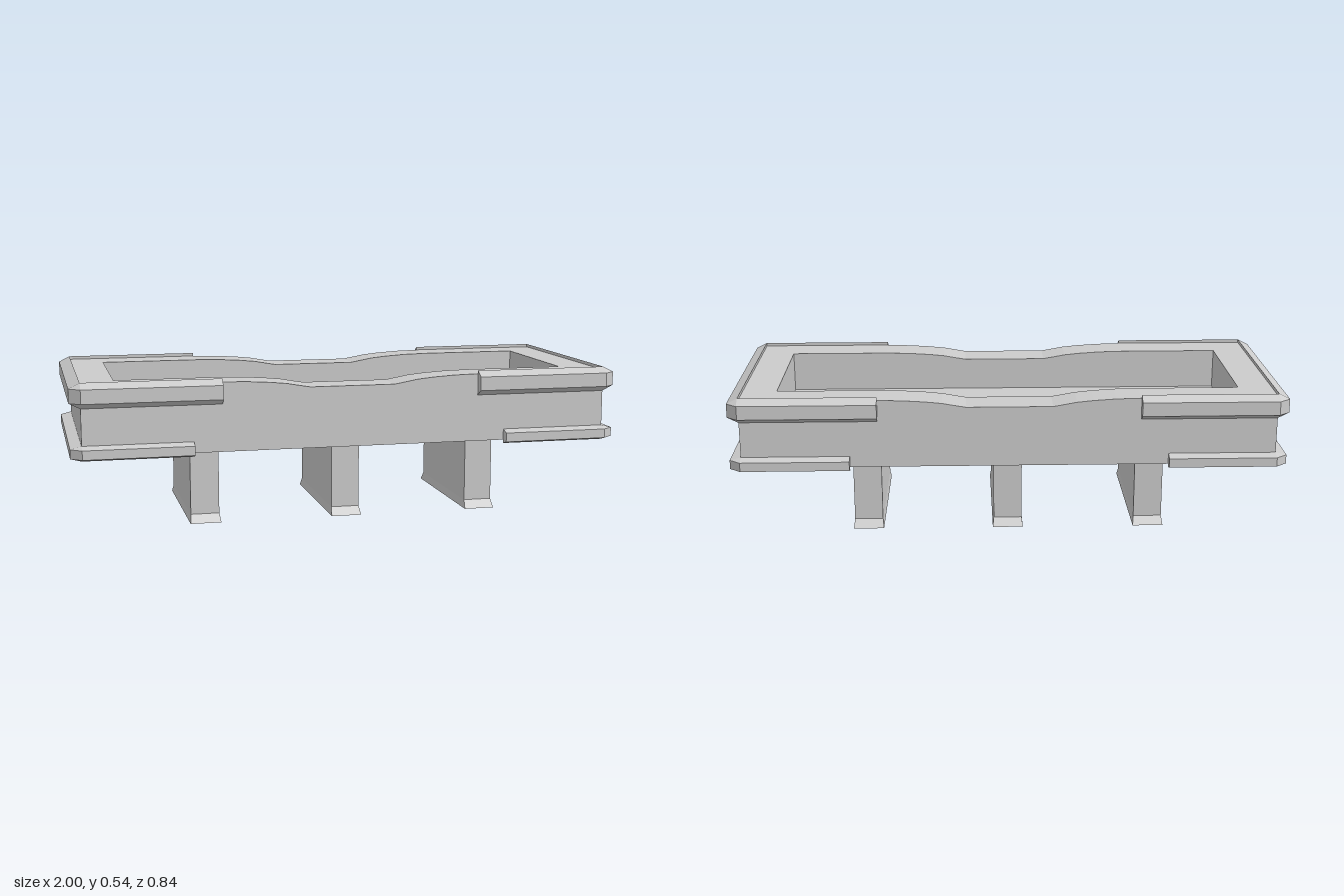
import * as THREE from 'three';

const material = new THREE.MeshStandardMaterial({ color: 0xcccccc, flatShading: true });

// Non-indexed geometry from quads whose corners run counter-clockwise seen from outside
function quadGeometry(quads) {
  const pos = [];
  for (const [a, b, c, d] of quads) pos.push(...a, ...b, ...c, ...a, ...c, ...d);
  const g = new THREE.BufferGeometry();
  g.setAttribute('position', new THREE.Float32BufferAttribute(pos, 3));
  g.computeVertexNormals();
  return g;
}

// Outer and inner half sizes of the trough, its bottom and basin floor
const X = 0.96, Z = 0.387, IX = 0.837, IZ = 0.26, BOTTOM = 0.28, FLOOR = 0.38;

// Rim height: raised ends dipping to a worn flat middle
const rimHalf = [[0, 0.5], [0.155, 0.5], [0.19, 0.506], [0.24, 0.515], [0.3, 0.521], [0.38, 0.526], [0.47, 0.528], [IX, 0.528], [X, 0.528]];
const rim = [...rimHalf.slice(1).reverse().map(([x, y]) => [-x, y]), ...rimHalf];

function troughGeometry() {
  const quads = [];
  const END = 0.528;
  for (const s of [1, -1]) {
    const p = (x, y, z) => [s * x, y, s * z];
    for (let i = 0; i < rim.length - 1; i++) {
      const [x0, y0] = rim[i], [x1, y1] = rim[i + 1];
      // outer side and rim top
      quads.push([p(x0, BOTTOM, Z), p(x1, BOTTOM, Z), p(x1, y1, Z), p(x0, y0, Z)]);
      quads.push([p(x0, y0, Z), p(x1, y1, Z), p(x1, y1, IZ), p(x0, y0, IZ)]);
      // inner side of the basin
      if (x0 >= -IX && x1 <= IX) {
        quads.push([p(x1, FLOOR, IZ), p(x0, FLOOR, IZ), p(x0, y0, IZ), p(x1, y1, IZ)]);
      }
    }
    // end wall: outside, rim top, inside
    quads.push([p(X, BOTTOM, Z), p(X, BOTTOM, -Z), p(X, END, -Z), p(X, END, Z)]);
    quads.push([p(IX, END, IZ), p(X, END, IZ), p(X, END, -IZ), p(IX, END, -IZ)]);
    quads.push([p(IX, FLOOR, -IZ), p(IX, FLOOR, IZ), p(IX, END, IZ), p(IX, END, -IZ)]);
  }
  // basin floor and underside
  quads.push([[-IX, FLOOR, IZ], [IX, FLOOR, IZ], [IX, FLOOR, -IZ], [-IX, FLOOR, -IZ]]);
  quads.push([[-X, BOTTOM, -Z], [X, BOTTOM, -Z], [X, BOTTOM, Z], [-X, BOTTOM, Z]]);
  return quadGeometry(quads);
}

// U-shaped bevelled band wrapping the +x end; ys = [low inner, low outer, high outer, high inner]
function bandGeometry(xStart, ys) {
  const OX = 1, OZ = 0.42;
  // stations: inner x, z and outer x, z, with chamfered outer corners
  const stations = [
    [xStart, Z, xStart, OZ], [X, Z, X, OZ], [X, Z, OX, Z],
    [X, -Z, OX, -Z], [X, -Z, X, -OZ], [xStart, -Z, xStart, -OZ],
  ];
  const rings = stations.map(([ix, iz, ox, oz]) => [
    [ix, ys[0], iz], [ox, ys[1], oz], [ox, ys[2], oz], [ix, ys[3], iz],
  ]);
  const quads = [];
  for (let i = 0; i < rings.length - 1; i++) {
    for (let k = 0; k < 4; k++) {
      const n = (k + 1) % 4;
      quads.push([rings[i][k], rings[i + 1][k], rings[i + 1][n], rings[i][n]]);
    }
  }
  quads.push(rings[0]);
  quads.push([...rings[rings.length - 1]].reverse());
  return quadGeometry(quads);
}

// Slab leg with a flared foot
function legGeometry() {
  const g = new THREE.BoxGeometry(2, 2, 2, 1, 2, 1);
  const p = g.attributes.position;
  for (let i = 0; i < p.count; i++) {
    const level = Math.round(p.getY(i)) + 1;
    const y = [0, 0.03, BOTTOM][level];
    p.setXYZ(i, p.getX(i) * (level ? 0.052 : 0.056), y, p.getZ(i) * (level ? 0.261 : 0.285));
  }
  g.computeVertexNormals();
  return g;
}

export function createModel() {
  const model = new THREE.Group();
  model.name = 'trough';
  const add = (name, geometry) => {
    const mesh = new THREE.Mesh(geometry, material);
    mesh.name = name;
    model.add(mesh);
    return mesh;
  };

  add('basin', troughGeometry());

  // bands around both ends
  const upper = bandGeometry(0.47, [0.45, 0.47, 0.52, 0.54]);
  const lower = bandGeometry(0.572, [0.267, 0.277, 0.31, 0.32]);
  for (const [side, turn] of [['left', 0], ['right', Math.PI]]) {
    add(side + 'UpperBand', upper).rotation.y = turn;
    add(side + 'LowerBand', lower).rotation.y = turn;
  }

  // three legs
  const leg = legGeometry();
  [['rightLeg', -0.52], ['middleLeg', 0.003], ['leftLeg', 0.52]].forEach(([name, x]) => {
    add(name, leg).position.x = x;
  });

  return model;
}
